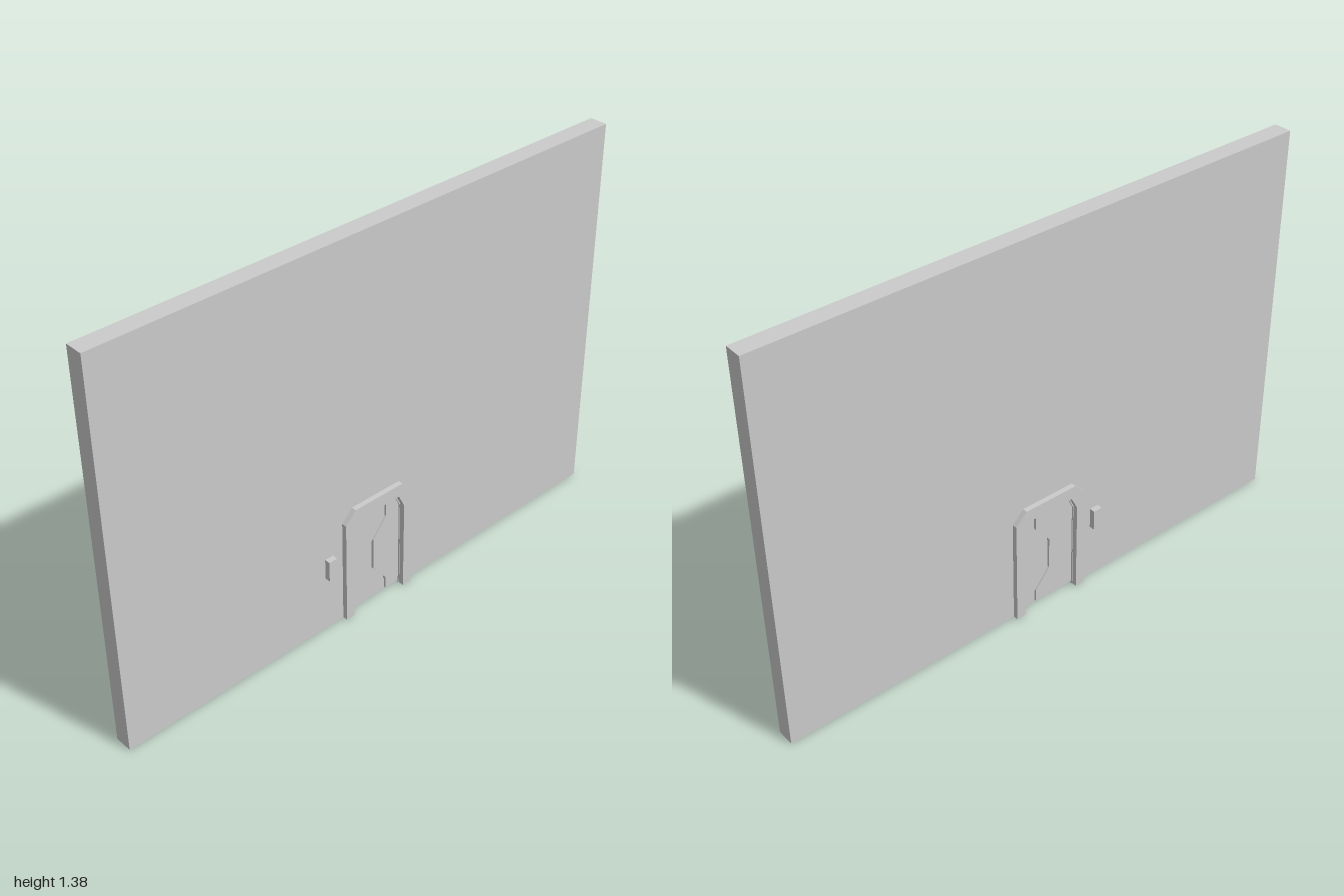
import * as THREE from 'three';

const CX = -0.003; // doorway centre line

// Left-half-to-right-half outline of a doorway with clipped top corners
const arch = (halfW, top, cutX, cutY, bottom = 0) => [
  [CX - halfW, bottom], [CX - halfW, top - cutY], [CX - halfW + cutX, top],
  [CX + halfW - cutX, top], [CX + halfW, top - cutY], [CX + halfW, bottom],
];

export function createModel() {
  const group = new THREE.Group();
  const material = new THREE.MeshStandardMaterial({ color: 0xcccccc, flatShading: true });

  // Flat slab from an outline, centred on z = 0
  function slab(name, points, halfDepth) {
    const shape = new THREE.Shape(points.map(([x, y]) => new THREE.Vector2(x, y)));
    const geometry = new THREE.ExtrudeGeometry(shape, { depth: halfDepth * 2, bevelEnabled: false });
    geometry.translate(0, 0, -halfDepth);
    const mesh = new THREE.Mesh(geometry, material);
    mesh.name = name;
    group.add(mesh);
  }

  // Wall with a doorway notch; the notch edge shows as a thin lining in the frame
  slab('wall', [[-1, 0], ...arch(0.108, 0.374, 0.023, 0.045), [1, 0], [1, 1.38], [-1, 1.38]], 0.031);

  // Door frame standing proud of both wall faces
  slab('doorFrame', [
    ...arch(0.143, 0.428, 0.042, 0.043),
    ...arch(0.11, 0.383, 0.024, 0.048).reverse(),
  ], 0.049);

  // Two door leaves that meet along a stepped seam
  const seam = [[0.045, 0.008], [0.045, 0.053], [-0.011, 0.123], [-0.011, 0.242], [0.045, 0.31], [0.045, 0.376]];
  const gap = 0.004;
  const shifted = (dx) => seam.map(([x, y]) => [x + dx, y]);
  const [bl, sl, tl, tr, sr, br] = arch(0.109, 0.376, 0.023, 0.045, 0.008);
  slab('rightDoorLeaf', [bl, ...shifted(-gap), tl, sl], 0.026);
  slab('leftDoorLeaf', [br, sr, tr, ...shifted(gap).reverse()], 0.026);

  // Thin core closing the seam between the leaves
  slab('seamCore', [...shifted(-0.012), ...shifted(0.012).reverse()], 0.014);

  // Control box passing through the wall beside the door
  const box = new THREE.Mesh(new THREE.BoxGeometry(0.033, 0.075, 0.102), material);
  box.name = 'controlBox';
  box.position.set(-0.203, 0.244, 0);
  group.add(box);

  return group;
}
